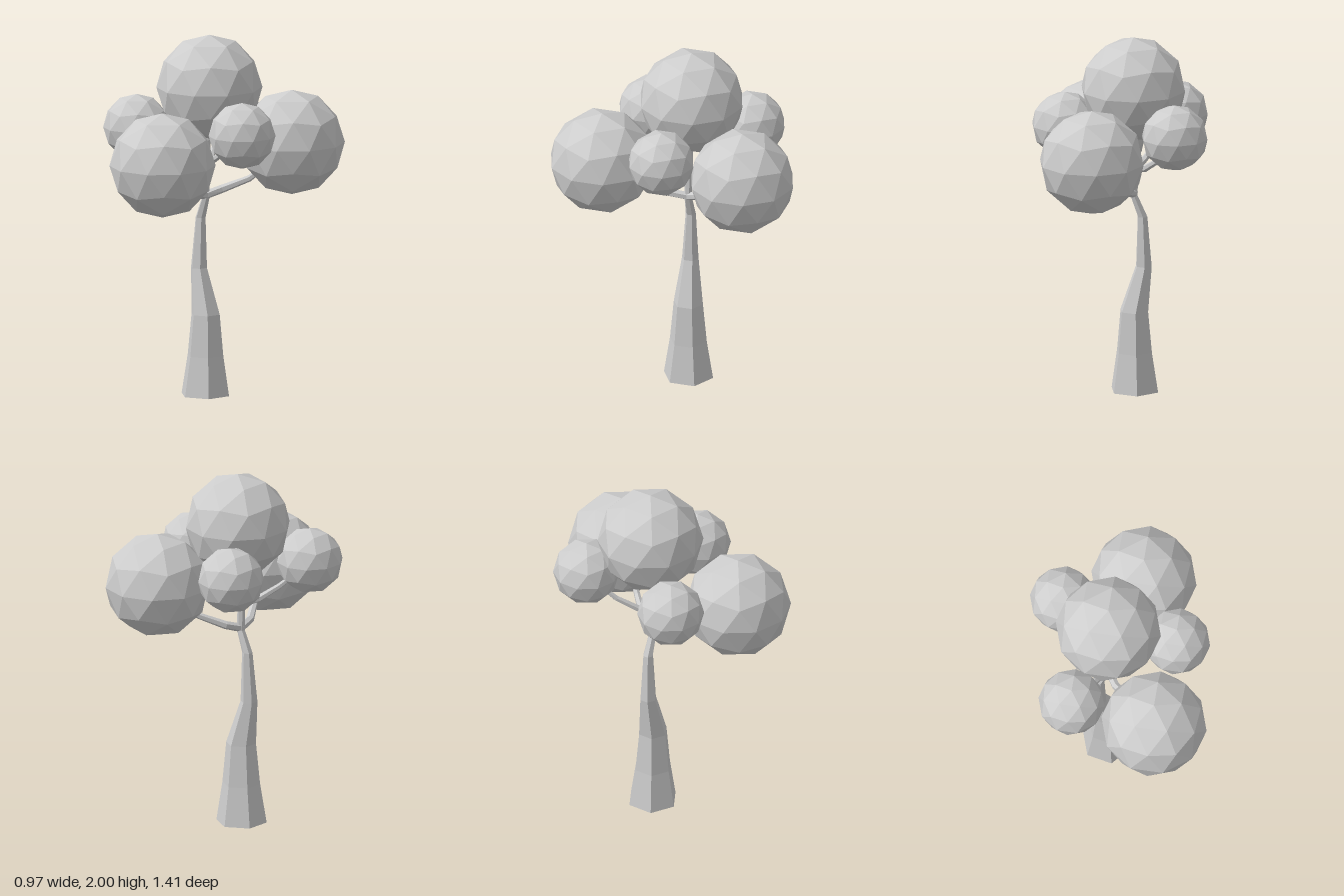
import * as THREE from 'three';

// Faceted tapering limb through points [x, y, z, radius]; level keeps its rings horizontal
function limbGeometry(points, level, sides = 6) {
  const centres = points.map(([x, y, z]) => new THREE.Vector3(x, y, z));
  const rings = centres.map((c, i) => {
    const t = level
      ? new THREE.Vector3(0, 1, 0)
      : centres[Math.min(i + 1, centres.length - 1)].clone().sub(centres[Math.max(i - 1, 0)]).normalize();
    const u = level ? new THREE.Vector3(0, 0, 1) : new THREE.Vector3(0, 1, 0);
    u.addScaledVector(t, -u.dot(t)).normalize();
    const v = t.clone().cross(u);
    return Array.from({ length: sides }, (_, j) => {
      const a = (j / sides) * Math.PI * 2;
      return c.clone()
        .addScaledVector(u, Math.cos(a) * points[i][3])
        .addScaledVector(v, Math.sin(a) * points[i][3]);
    });
  });
  const corners = [];
  const last = rings.length - 1;
  for (let j = 0; j < sides; j++) {
    const k = (j + 1) % sides;
    for (let i = 0; i < last; i++) {
      const lo = rings[i], hi = rings[i + 1];
      corners.push(lo[j], lo[k], hi[k], lo[j], hi[k], hi[j]);
    }
    // End caps
    corners.push(centres[0], rings[0][k], rings[0][j]);
    corners.push(centres[last], rings[last][j], rings[last][k]);
  }
  const geometry = new THREE.BufferGeometry().setFromPoints(corners);
  geometry.computeVertexNormals();
  return geometry;
}

export function createModel() {
  const tree = new THREE.Group();
  tree.name = 'tree';
  const grey = new THREE.MeshStandardMaterial({ color: 0xcccccc, flatShading: true });
  grey.name = 'pale grey';

  const add = (name, geometry) => {
    const mesh = new THREE.Mesh(geometry, grey);
    mesh.name = name;
    tree.add(mesh);
    return mesh;
  };

  // Crooked six-sided trunk, running up into the crown
  add('trunk', limbGeometry([
    [-0.07, 0, -0.025, 0.14],
    [-0.068, 0.22, -0.025, 0.105],
    [-0.067, 0.45, -0.025, 0.083],
    [-0.12, 0.7, -0.02, 0.047],
    [-0.112, 0.98, -0.025, 0.029],
    [-0.065, 1.1, -0.025, 0.022],
    [-0.068, 1.25, -0.025, 0.021],
    [-0.06, 1.48, -0.04, 0.018],
  ], true));

  // Branches, each reaching into one ball of leaves
  const branches = {
    frontBranch: [[-0.065, 1.11, -0.03, 0.024], [-0.04, 1.13, 0.08, 0.023], [0.03, 1.19, 0.2, 0.018], [0.09, 1.28, 0.32, 0.014]],
    backBranch: [[-0.065, 1.11, -0.02, 0.024], [-0.03, 1.14, -0.11, 0.023], [0.07, 1.2, -0.22, 0.018], [0.15, 1.3, -0.32, 0.014]],
    frontRightBranch: [[-0.06, 1.25, -0.03, 0.022], [-0.12, 1.27, 0.06, 0.02], [-0.2, 1.34, 0.14, 0.016], [-0.27, 1.42, 0.22, 0.012]],
    backRightBranch: [[-0.06, 1.25, -0.02, 0.022], [-0.12, 1.27, -0.09, 0.02], [-0.19, 1.34, -0.18, 0.016], [-0.24, 1.43, -0.27, 0.012]],
    leftBranch: [[-0.07, 1.27, -0.025, 0.022], [0, 1.31, -0.015, 0.02], [0.1, 1.36, 0, 0.016], [0.24, 1.45, 0.01, 0.012]],
  };
  for (const [name, points] of Object.entries(branches)) add(name, limbGeometry(points, false));

  // Faceted leaf ball, turned so that one corner points straight up
  const ball = new THREE.IcosahedronGeometry(1, 1);
  ball.rotateZ(-Math.atan(2 / (1 + Math.sqrt(5))));

  // Leaf balls: x, y, z, radius
  const foliage = {
    topFoliage: [-0.06, 1.71, -0.045, 0.29],
    frontFoliage: [0.115, 1.355, 0.413, 0.29],
    backFoliage: [0.2, 1.4, -0.413, 0.29],
    frontRightFoliage: [-0.315, 1.485, 0.26, 0.183],
    leftFoliage: [0.31, 1.502, 0.015, 0.183],
    backRightFoliage: [-0.262, 1.505, -0.33, 0.183],
  };
  for (const [name, [x, y, z, r]] of Object.entries(foliage)) {
    const mesh = add(name, ball);
    mesh.position.set(x, y, z);
    mesh.scale.setScalar(r);
  }
  return tree;
}
